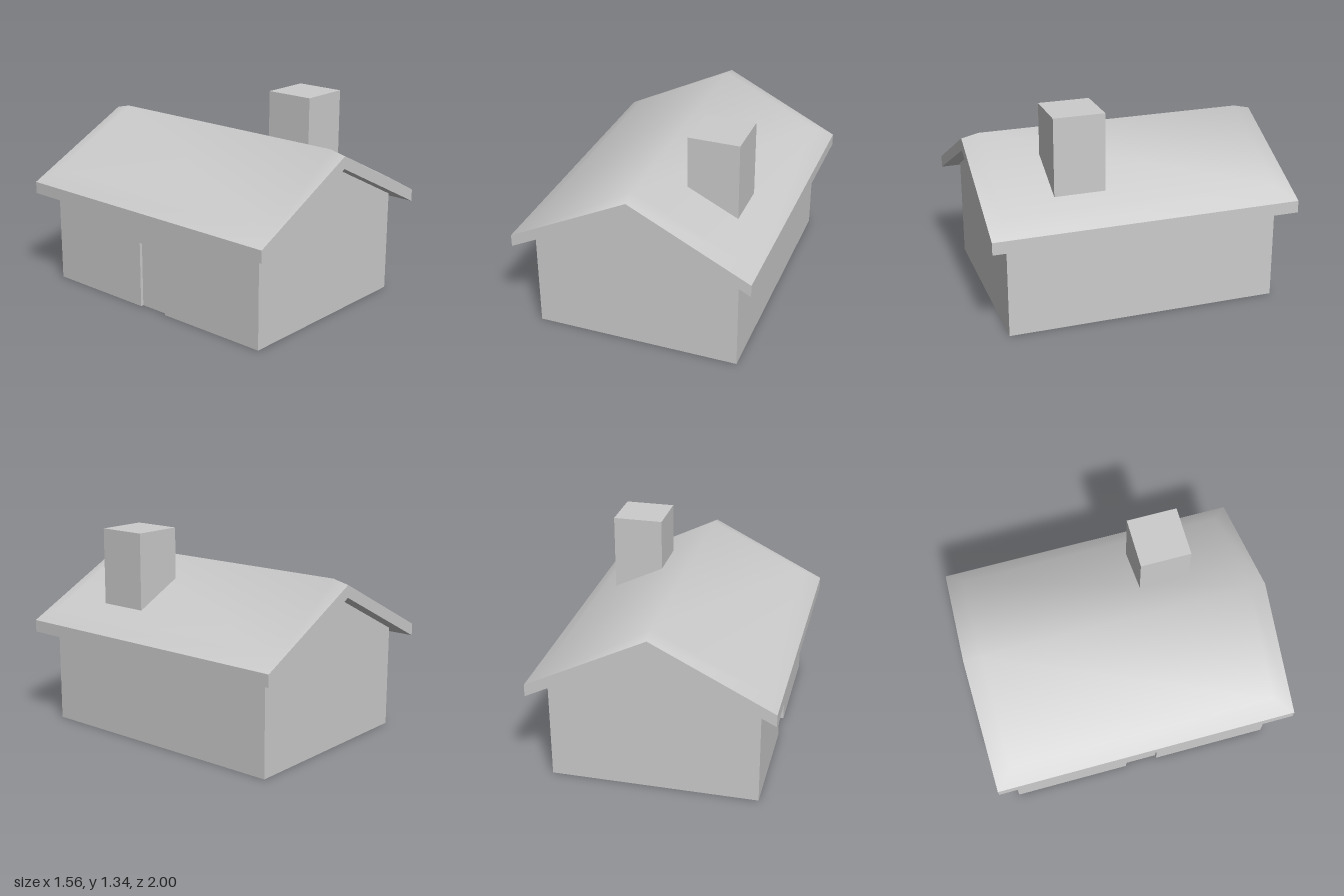
import * as THREE from 'three';

const material = new THREE.MeshStandardMaterial({ color: 0xcccccc });

function addMesh(parent, name, geometry, x = 0, y = 0, z = 0) {
  const mesh = new THREE.Mesh(geometry, material);
  mesh.name = name;
  mesh.position.set(x, y, z);
  parent.add(mesh);
  return mesh;
}

// Six-point gabled outline: eave, ridge, eave at the front, then at the back
const gableRing = (x, z, eave, ridge) => [
  [-x, eave, z], [0, ridge, z], [x, eave, z],
  [x, eave, -z], [0, ridge, -z], [-x, eave, -z],
];

// Joins two gabled outlines (lower to upper) and caps one of them
function gableShell(lower, upper, capTop) {
  const index = [];
  const quad = (a, b, c, d) => index.push(a, b, c, a, c, d);
  for (let i = 0; i < 6; i++) {
    const j = (i + 1) % 6;
    quad(i, j, 6 + j, 6 + i);
  }
  if (capTop) {
    quad(6, 7, 10, 11);
    quad(7, 8, 9, 10);
  } else {
    quad(5, 4, 1, 0);
    quad(4, 3, 2, 1);
  }
  const geometry = new THREE.BufferGeometry();
  geometry.setAttribute('position', new THREE.Float32BufferAttribute([...lower, ...upper].flat(), 3));
  geometry.setIndex(index);
  return geometry;
}

// House cross-section extruded between two z positions
function wallSection(points, z0, z1) {
  const shape = new THREE.Shape(points.map(([x, y]) => new THREE.Vector2(x, y)));
  return new THREE.ExtrudeGeometry(shape, { depth: z1 - z0, bevelEnabled: false }).translate(0, 0, z0);
}

export function createModel() {
  const house = new THREE.Group();
  house.name = 'house';

  // Walls, with a doorway recessed into the middle of the -x side
  const W = 0.67, L = 0.89, doorHalf = 0.11, doorTop = 0.44, niche = 0.1;
  const upper = [[W, 0], [W, 0.67], [0, 1.005], [-W, 0.67]];
  const full = [[-W, 0], ...upper];
  const notched = [[-W + niche, 0], ...upper, [-W, doorTop], [-W + niche, doorTop]];
  const walls = new THREE.Group();
  walls.name = 'walls';
  addMesh(walls, 'backWalls', wallSection(full, -L, -doorHalf));
  addMesh(walls, 'doorwayWalls', wallSection(notched, -doorHalf, doorHalf));
  addMesh(walls, 'frontWalls', wallSection(full, doorHalf, L));
  house.add(walls);

  // Door panel set slightly back from the wall
  addMesh(house, 'door', new THREE.BoxGeometry(0.06, doorTop, doorHalf * 2), -W + 0.05, doorTop / 2, 0);

  // Roof: flat fascia and underside, smooth covering with a sloping rim
  const bottom = gableRing(0.78, 1, 0.615, 1.005);
  const rim = gableRing(0.78, 1, 0.695, 1.085);
  const crown = gableRing(W, L, 0.78, 1.11);
  const roof = new THREE.Group();
  roof.name = 'roof';
  const fascia = gableShell(bottom, rim, false).toNonIndexed();
  fascia.computeVertexNormals();
  addMesh(roof, 'roofFascia', fascia);
  const covering = gableShell(rim, crown, true);
  covering.computeVertexNormals();
  addMesh(roof, 'roofCovering', covering);
  house.add(roof);

  // Chimney rising through the +x slope
  addMesh(house, 'chimney', new THREE.BoxGeometry(0.33, 0.54, 0.33), 0.387, 1.07, 0.387);

  return house;
}
